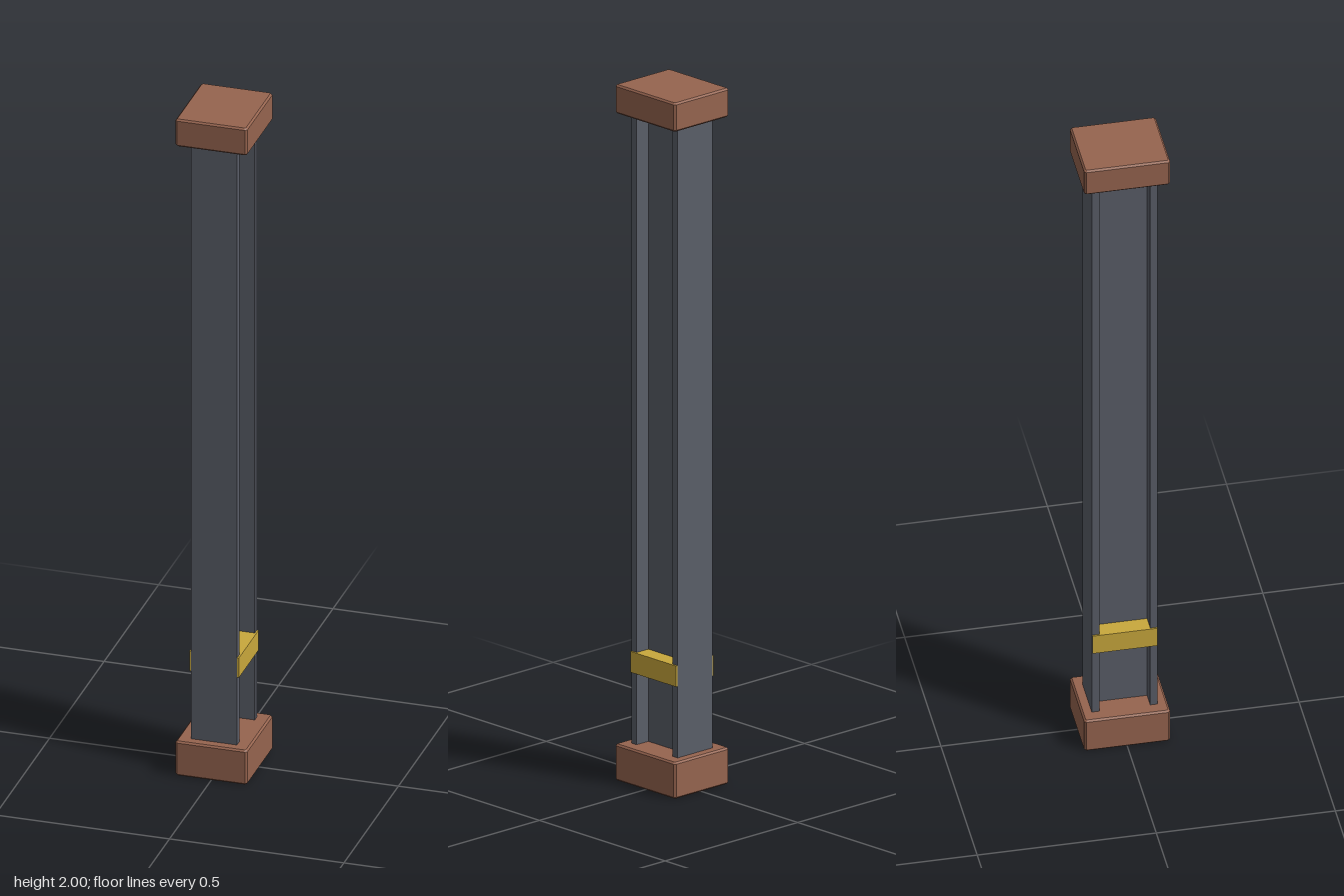
import * as THREE from 'three';

const steel = new THREE.MeshStandardMaterial({ name: 'steelGrey', color: 0x5a5e68 });
const brick = new THREE.MeshStandardMaterial({ name: 'rustBrown', color: 0x96644f });
const yellow = new THREE.MeshStandardMaterial({ name: 'bandYellow', color: 0xc9a83c });

export function createModel() {
  const model = new THREE.Group();
  model.name = 'steelColumn';

  const add = (name, geometry, material, x, y, z) => {
    const mesh = new THREE.Mesh(geometry, material);
    mesh.name = name;
    mesh.position.set(x, y, z);
    model.add(mesh);
  };

  // Block with every edge chamfered, resting on y = 0
  const chamferedBlock = (w, h, d, b) => {
    const x = w / 2 - b, z = d / 2 - b, c = b * 0.6;
    const outline = [[x, z - c], [x - c, z], [c - x, z], [-x, z - c],
      [-x, c - z], [c - x, -z], [x - c, -z], [x, c - z]];
    const shape = new THREE.Shape(outline.map(([px, pz]) => new THREE.Vector2(px, pz)));
    return new THREE.ExtrudeGeometry(shape, {
      depth: h - 2 * b, bevelThickness: b, bevelSize: b, bevelSegments: 1,
    }).rotateX(-Math.PI / 2).translate(0, b, 0);
  };

  // End plates
  add('basePlate', chamferedBlock(0.206, 0.105, 0.24, 0.005), brick, 0, 0, 0);
  add('topPlate', chamferedBlock(0.206, 0.083, 0.24, 0.005), brick, 0, 1.917, 0);

  // I-beam: web between two flanges
  const bottom = 0.1, top = 1.92, height = top - bottom, mid = (top + bottom) / 2;
  add('web', new THREE.BoxGeometry(0.044, height, 0.144), steel, 0, mid, 0);
  for (const [name, side] of [['frontFlange', 1], ['backFlange', -1]]) {
    add(name, new THREE.BoxGeometry(0.132, height, 0.021), steel, 0, mid, side * 0.0815);
  }

  // Marker band, filling both recesses and standing just proud of the sides
  add('markerBand', new THREE.BoxGeometry(0.142, 0.06, 0.181), yellow, 0, 0.34, 0);

  return model;
}
